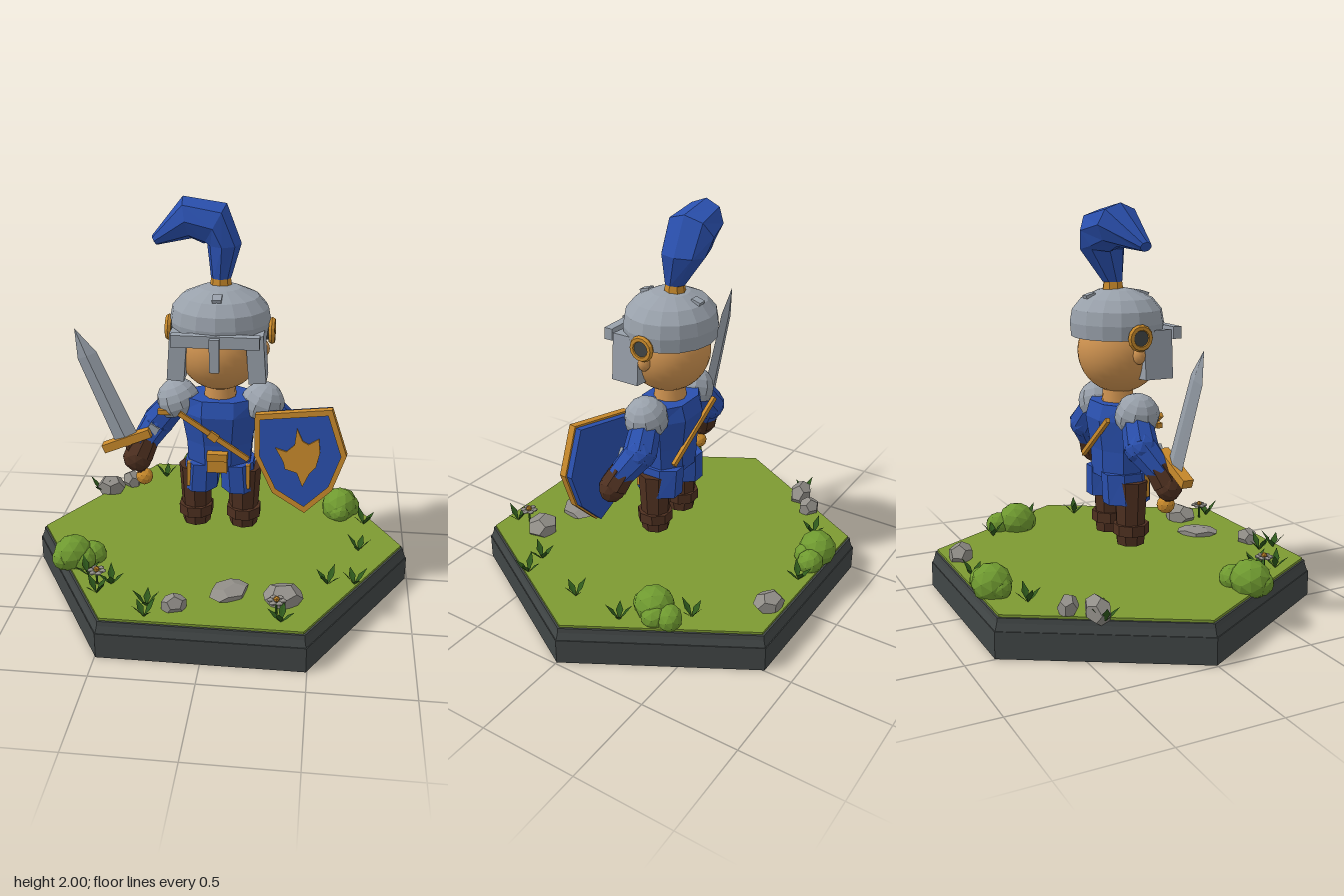
import * as THREE from 'three';

const flat = (name, color) => {
  const m = new THREE.MeshStandardMaterial({ color, flatShading: true });
  m.name = name;
  return m;
};
const steel = flat('steel', 0x99a1ab), blue = flat('blue cloth', 0x2a50ae), gold = flat('gold', 0xc98a2b),
  skin = flat('skin', 0xcf9350), leather = flat('leather', 0x4e3020), slate = flat('slate', 0x414646),
  turf = flat('turf', 0x7d9a32), leaf = flat('leaf', 0x6f9a30), blade = flat('dark leaf', 0x2f5a1c),
  rock = flat('rock', 0x918e88);
skin.flatShading = false;
blade.side = THREE.DoubleSide;

const V = (x, y, z) => new THREE.Vector3(x, y, z);

function add(parent, name, geo, mat, pos = [0, 0, 0], rot = [0, 0, 0], scale = [1, 1, 1]) {
  const m = new THREE.Mesh(geo, mat);
  m.name = name;
  m.position.set(...pos);
  m.rotation.set(...rot);
  m.scale.set(...scale);
  parent.add(m);
  return m;
}
const box = (p, name, mat, size, pos, rot) => add(p, name, new THREE.BoxGeometry(...size), mat, pos, rot);
function group(parent, name) {
  const g = new THREE.Group();
  g.name = name;
  parent.add(g);
  return g;
}

// Tapered cylinder between two points
function limb(parent, name, mat, a, b, ra, rb, sides = 8) {
  const A = V(...a), B = V(...b);
  const m = add(parent, name, new THREE.CylinderGeometry(rb, ra, A.distanceTo(B), sides), mat);
  m.position.copy(A).add(B).multiplyScalar(0.5);
  m.quaternion.setFromUnitVectors(V(0, 1, 0), B.sub(A).normalize());
  return m;
}

// Flat bar between two points
function bar(parent, name, mat, a, b, w, d) {
  const A = V(...a), B = V(...b);
  const m = add(parent, name, new THREE.BoxGeometry(w, A.distanceTo(B), d), mat);
  m.position.copy(A).add(B).multiplyScalar(0.5);
  m.quaternion.setFromUnitVectors(V(0, 1, 0), B.sub(A).normalize());
}

// Closed skin over elliptical rings [x, y, z, halfWidth, halfDepth, tilt]
function loft(rings, sides, turn = 0) {
  const pos = [];
  const pt = ([x, y, z, a, b, tilt = 0], i) => {
    const t = (i / sides) * Math.PI * 2 + turn, u = Math.cos(t) * a;
    return [x + u * Math.cos(tilt), y + u * Math.sin(tilt), z - Math.sin(t) * b];
  };
  const first = rings[0], last = rings[rings.length - 1];
  for (let i = 0; i < sides; i++) {
    for (let r = 0; r < rings.length - 1; r++) {
      const a = pt(rings[r], i), b = pt(rings[r], i + 1), c = pt(rings[r + 1], i + 1), d = pt(rings[r + 1], i);
      pos.push(...a, ...b, ...c, ...a, ...c, ...d);
    }
    pos.push(...first.slice(0, 3), ...pt(first, i + 1), ...pt(first, i));
    pos.push(...last.slice(0, 3), ...pt(last, i), ...pt(last, i + 1));
  }
  const g = new THREE.BufferGeometry();
  g.setAttribute('position', new THREE.Float32BufferAttribute(pos, 3));
  g.computeVertexNormals();
  return g;
}

function buildBase(root) {
  const g = group(root, 'base');
  for (const [name, mat, y0, y1, r0, r1] of [
    ['plinth', slate, 0, 0.13, 0.99, 0.99], ['plinthBevel', slate, 0.13, 0.165, 0.985, 0.972],
    ['plinthRim', slate, 0.165, 0.188, 0.972, 0.968], ['grass', turf, 0.188, 0.2, 0.957, 0.957]])
    add(g, name, new THREE.CylinderGeometry(r1, r0, y1 - y0, 6), mat, [0, (y0 + y1) / 2, 0], [0, Math.PI / 6, 0]);

  // Bushes
  for (const [x, z, turn] of [[-0.19, -0.77, 0], [0.64, -0.35, 1.2], [-0.69, 0.34, 0.3]]) {
    const b = group(g, 'bush');
    b.position.set(x, 0.25, z);
    b.rotation.y = turn;
    for (const [dx, dy, dz, r] of [[-0.03, 0, 0, 0.102], [0.075, -0.02, -0.01, 0.07], [0.02, -0.02, 0.035, 0.07], [-0.075, -0.015, 0.02, 0.065]])
      add(b, 'foliage', new THREE.IcosahedronGeometry(r, 1), leaf, [dx, dy, dz], [dx * 20, dz * 30, 0.4], [1, 0.92, 0.95]);
  }
  // Rocks
  for (const [x, z, rx, ry, rz] of [[0.29, -0.76, 0.082, 0.06, 0.065], [-0.59, -0.54, 0.05, 0.06, 0.062],
    [-0.69, -0.44, 0.085, 0.07, 0.06], [0.105, 0.545, 0.115, 0.025, 0.09], [0.37, 0.585, 0.1, 0.06, 0.085], [-0.14, 0.71, 0.047, 0.055, 0.065]])
    add(g, 'rock', new THREE.DodecahedronGeometry(1), rock, [x, 0.2 + ry * 0.45, z], [0, x * 9, 0], [rx, ry, rz]);

  // Grass tufts: four bent blades each
  const tufts = [[-0.4, -0.66], [0.015, -0.78], [0.56, -0.49], [0.765, -0.21], [0.735, 0.075], [0.71, 0.4], [0.58, 0.415],
    [-0.48, 0.535], [-0.535, 0.62], [-0.275, 0.7], [-0.27, 0.79], [0.37, 0.76], [-0.615, 0.465], [-0.75, -0.43]];
  const bladeGeo = new THREE.BufferGeometry();
  bladeGeo.setAttribute('position', new THREE.Float32BufferAttribute(
    [0, 0, 0, 0.03, 0.045, -0.018, 0.065, 0.085, 0, 0, 0, 0, 0.065, 0.085, 0, 0.03, 0.045, 0.018], 3));
  bladeGeo.computeVertexNormals();
  tufts.forEach(([x, z], i) => {
    const t = group(g, 'grassTuft');
    t.position.set(x, 0.198, z);
    for (let k = 0; k < 4; k++) add(t, 'blade', bladeGeo, blade, [0, 0, 0], [0, i * 0.7 + k * Math.PI / 2, 0], [1, k % 2 ? 0.75 : 1, 1]);
  });
  // Flowers
  for (const [x, z] of [[-0.55, 0.54], [0.345, 0.7]]) {
    const f = group(g, 'flower');
    f.position.set(x, 0.275, z);
    limb(f, 'stem', blade, [0, -0.08, 0], [0, 0, 0], 0.006, 0.006, 5);
    add(f, 'flowerCentre', new THREE.IcosahedronGeometry(0.016), gold, [0, 0.008, 0]);
    for (let k = 0; k < 6; k++)
      add(f, 'petal', new THREE.IcosahedronGeometry(0.018), rock, [Math.cos(k * Math.PI / 3) * 0.03, 0, Math.sin(k * Math.PI / 3) * 0.03], [0, 0, 0], [1, 0.5, 1]);
  }
}

function buildBody(root) {
  const g = group(root, 'body');
  add(g, 'tunic', loft([[0, 0.64, 0, 0.17, 0.125], [0, 0.78, 0, 0.18, 0.13], [0, 0.94, 0, 0.21, 0.155], [0, 1.02, 0, 0.205, 0.13]], 8, Math.PI / 8), blue);
  add(g, 'neck', new THREE.CylinderGeometry(0.075, 0.085, 0.1, 10), skin, [0, 1.05, 0]);
  // Shoulder strap, front and back, with pouch
  bar(g, 'strapFront', gold, [-0.19, 0.965, 0.147], [0.155, 0.72, 0.125], 0.025, 0.02);
  bar(g, 'strapBack', gold, [-0.19, 0.965, -0.147], [0.155, 0.72, -0.122], 0.025, 0.02);
  box(g, 'strapBuckle', gold, [0.05, 0.04, 0.02], [-0.02, 0.845, 0.145], [0, 0, -0.62]);
  box(g, 'pouch', gold, [0.1, 0.1, 0.04], [0, 0.7, 0.135]);
  box(g, 'pouchFlap', gold, [0.104, 0.04, 0.045], [0, 0.735, 0.14]);
  box(g, 'sleeveBand', gold, [0.09, 0.025, 0.03], [-0.265, 0.94, 0.075]);
  for (const s of [-1, 1]) {
    // Skirt panel, leg and boot
    add(g, 'skirtPanel', loft([[s * 0.1, 0.515, 0, 0.095, 0.125], [s * 0.09, 0.67, 0, 0.092, 0.13]], 8, Math.PI / 8), blue);
    box(g, 'skirtTrim', gold, [0.02, 0.13, 0.03], [s * 0.152, 0.605, 0.085]);
    limb(g, 'leg', leather, [s * 0.124, 0.38, 0.01], [s * 0.127, 0.63, 0.01], 0.075, 0.088);
    add(g, 'bootCuff', new THREE.CylinderGeometry(0.092, 0.092, 0.055, 8), leather, [s * 0.126, 0.38, 0.012], [0, Math.PI / 8, 0]);
    limb(g, 'boot', leather, [s * 0.124, 0.3, 0.01], [s * 0.125, 0.37, 0.01], 0.072, 0.08);
    // Arm
    add(g, 'shoulderGuard', new THREE.SphereGeometry(0.112, 10, 6, 0, Math.PI * 2, 0, 2.1), steel, [s * 0.215, 0.98, 0], [0, 0, -s * 0.35]);
    limb(g, 'upperArm', blue, [s * 0.22, 0.98, -0.01], [s * 0.325, 0.845, -0.035], 0.075, 0.085);
    add(g, 'elbow', new THREE.IcosahedronGeometry(0.085, 1), blue, [s * 0.325, 0.845, -0.035]);
    limb(g, 'forearm', blue, [s * 0.325, 0.845, -0.035], [s * 0.405, 0.73, 0.035], 0.082, 0.065);
    box(g, 'armPlate', steel, [0.055, 0.055, 0.03], [s * 0.345, 0.825, 0.045], [0, 0, s * 0.6]);
    limb(g, 'gloveCuff', leather, [s * 0.385, 0.76, 0.02], [s * 0.42, 0.68, 0.055], 0.068, 0.075);
    add(g, 'glove', new THREE.IcosahedronGeometry(1, 1), leather, [s * 0.425, 0.67, 0.06], [0, 0, 0], [0.078, 0.078, 0.066]);
  }
}

function buildHead(root) {
  const g = group(root, 'head');
  add(g, 'face', new THREE.SphereGeometry(0.212, 28, 18), skin, [0, 1.275, 0.01]);
  const dome = [[0.19, 1.35], [0.243, 1.35], [0.25, 1.42], [0.238, 1.485], [0.19, 1.54], [0.1, 1.58], [0, 1.595]];
  add(g, 'helmet', new THREE.LatheGeometry(dome.map(p => new THREE.Vector2(...p)), 16), steel, [0, 0, -0.005], [0, 0, 0], [1, 1, 0.93]);
  box(g, 'visorBand', steel, [0.425, 0.06, 0.045], [0, 1.375, 0.222]);
  box(g, 'noseGuard', steel, [0.048, 0.165, 0.033], [0, 1.315, 0.255]);
  box(g, 'frontStud', steel, [0.045, 0.028, 0.055], [0, 1.555, 0.135], [0.3, 0, 0]);
  box(g, 'backStud', steel, [0.045, 0.028, 0.05], [0, 1.55, -0.155], [-0.3, 0, 0]);
  for (const s of [-1, 1]) {
    box(g, 'cheekGuard', steel, [0.085, 0.24, 0.15], [s * 0.192, 1.272, 0.108], [0, 0, s * 0.07]);
    add(g, 'ear', new THREE.SphereGeometry(0.04, 10, 8), skin, [s * 0.215, 1.275, 0.01], [0, 0, 0], [0.8, 1.1, 0.8]);
    add(g, 'hingeRing', new THREE.TorusGeometry(0.05, 0.017, 6, 14), gold, [s * 0.256, 1.365, -0.005], [0, Math.PI / 2, 0]);
    add(g, 'hingeCore', new THREE.CylinderGeometry(0.045, 0.045, 0.04, 12), slate, [s * 0.245, 1.365, -0.005], [0, 0, Math.PI / 2]);
  }
  add(g, 'plumeHolder', new THREE.CylinderGeometry(0.047, 0.055, 0.055, 8), gold, [0, 1.603, -0.027]);
  add(g, 'plume', loft([[0, 1.62, -0.03, 0.05, 0.052], [0.01, 1.78, -0.08, 0.085, 0.12], [-0.035, 1.87, -0.09, 0.115, 0.13, 1.06],
    [-0.17, 1.9, -0.08, 0.105, 0.11, 1.77], [-0.32, 1.8, -0.012, 0.026, 0.03, 2.08]], 8), blue);
}

function buildSword(root) {
  const g = group(root, 'sword');
  g.position.set(-0.475, 0.77, 0.067);
  g.rotation.z = 0.395;
  add(g, 'blade', loft([[0, 0, 0, 0.064, 0.02], [0, 0.49, 0, 0.053, 0.016], [0, 0.64, 0, 0.001, 0.001]], 4), steel);
  box(g, 'crossGuard', gold, [0.265, 0.045, 0.055], [0, 0, 0]);
  limb(g, 'grip', leather, [0, -0.21, 0], [0, 0, 0], 0.026, 0.026);
  add(g, 'pommel', new THREE.IcosahedronGeometry(0.045, 1), gold, [0, -0.22, 0]);
}

function buildShield(root) {
  const cx = 0.42, cy = 0.77;
  const local = (pts, k = 1) => pts.map(([x, y]) => new THREE.Vector2((x - cx) * k, (y - cy) * k));
  const outline = [[0.19, 0.98], [0.57, 1.04], [0.65, 0.8], [0.585, 0.605], [0.45, 0.465], [0.285, 0.56], [0.19, 0.755]];
  const extrude = (shape, depth) => new THREE.ExtrudeGeometry(shape, { depth, bevelEnabled: false });
  const g = group(root, 'shield');
  g.position.set(cx, cy, 0.155);
  g.rotation.y = -0.11;
  add(g, 'shieldBoard', extrude(new THREE.Shape(local(outline, 0.96)), 0.05), blue, [0, 0, -0.04]);
  const rim = new THREE.Shape(local(outline));
  rim.holes.push(new THREE.Path(local(outline, 0.88)));
  add(g, 'shieldRim', extrude(rim, 0.036), gold, [0, 0, -0.008]);
  const crest = [[0.4, 0.92], [0.43, 0.855], [0.46, 0.84], [0.51, 0.875], [0.518, 0.8], [0.5, 0.72], [0.47, 0.685],
    [0.435, 0.605], [0.405, 0.68], [0.345, 0.695], [0.335, 0.735], [0.295, 0.805], [0.35, 0.79], [0.39, 0.83]];
  add(g, 'shieldCrest', extrude(new THREE.Shape(local(crest)), 0.009), gold, [0, 0, 0.01]);
}

export function createModel() {
  const root = new THREE.Group();
  root.name = 'knightFigurine';
  for (const build of [buildBase, buildBody, buildHead, buildSword, buildShield]) build(root);
  return root;
}
